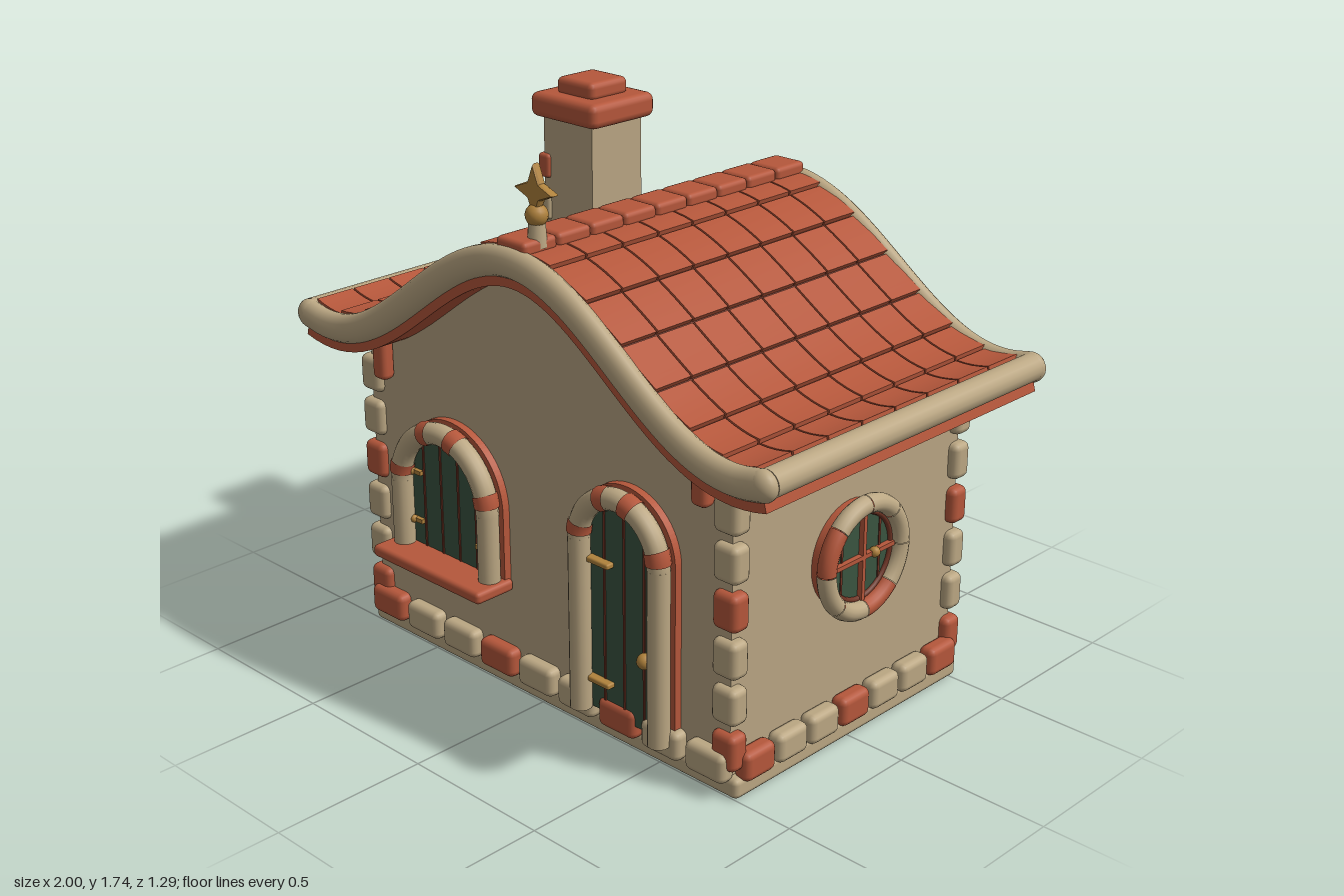
import * as THREE from 'three';
import { toCreasedNormals } from 'three/addons/utils/BufferGeometryUtils.js';
import { RoundedBoxGeometry } from 'three/addons/geometries/RoundedBoxGeometry.js';

const paint = (name, color) => {
  const m = new THREE.MeshStandardMaterial({ color });
  m.name = name;
  return m;
};

// height of the wavy roof line at x
const roofY = (x) => 1.24 + 0.2 * Math.cos((Math.PI * x) / 0.85);
// point on the roof line, moved outwards by d
const roofPoint = (x, d) => {
  const slope = -0.2 * (Math.PI / 0.85) * Math.sin((Math.PI * x) / 0.85);
  const len = Math.hypot(1, slope);
  return new THREE.Vector2(x - (slope / len) * d, roofY(x) + d / len);
};

export function createModel() {
  const wall = paint('plaster', 0xb9a583);
  const stone = paint('pale stone', 0xbba783);
  const red = paint('terracotta', 0xb5573b);
  const dark = paint('dark groove', 0x6e3323);
  const green = paint('green wood', 0x3a5440);
  const gold = paint('brass', 0xb0823c);

  const house = new THREE.Group();
  house.name = 'cottage';
  const add = (parent, name, geo, mat, x = 0, y = 0, z = 0) => {
    const m = new THREE.Mesh(geo, mat);
    m.name = name;
    m.position.set(x, y, z);
    parent.add(m);
    return m;
  };
  const block = (parent, name, w, h, d, mat, x, y, z, r = 0.018) =>
    add(parent, name, new RoundedBoxGeometry(w, h, d, 2, Math.min(r, w / 2.1, h / 2.1, d / 2.1)), mat, x, y, z);
  const box = (parent, name, w, h, d, mat, x, y, z) =>
    add(parent, name, new THREE.BoxGeometry(w, h, d), mat, x, y, z);

  // plinth and gabled walls
  block(house, 'plinth', 1.61, 0.065, 1.03, stone, 0, 0.0325, 0);
  const gable = new THREE.Shape([new THREE.Vector2(-0.77, 0.04), new THREE.Vector2(0.77, 0.04)]);
  for (let i = 0; i <= 32; i++) {
    const x = 0.77 - (1.54 * i) / 32;
    gable.lineTo(x, roofY(x) - 0.04);
  }
  const wallGeo = new THREE.ExtrudeGeometry(gable, { depth: 1.01, bevelEnabled: false });
  add(house, 'walls', toCreasedNormals(wallGeo, 0.5), wall, 0, 0, -0.505);

  // foundation stones, every third one red
  for (const s of [-1, 1]) {
    for (let i = 0; i < 9; i++)
      block(house, 'foundationStone', 0.152, 0.095, 0.06, i % 3 ? stone : red, -0.704 + i * 0.176, 0.098, s * 0.52, 0.022);
    for (let i = 0; i < 7; i++)
      block(house, 'foundationStone', 0.06, 0.095, 0.128, i % 3 ? stone : red, s * 0.795, 0.098, 0.425 - i * 0.1417, 0.022);
  }

  // corner stones and eave brackets
  for (const sx of [-1, 1]) for (const sz of [-1, 1]) {
    for (let i = 0; i < 6; i++)
      block(house, 'cornerStone', 0.092, 0.118, 0.07, i % 3 ? stone : red, sx * 0.757, 0.148 + i * 0.147, sz * 0.495, 0.022);
    block(house, 'eaveBracket', 0.06, 0.15, 0.05, red, sx * 0.68, 0.965, sz * 0.53);
  }

  // curved slab that follows the roof line, thickness given by two offset rules
  const slab = (xa, xb, depth, low, high, steps) => {
    const under = [], over = [];
    for (let i = 0; i <= steps; i++) {
      const t = i / steps, x = xa + (xb - xa) * t;
      under.push(roofPoint(x, low));
      over.unshift(roofPoint(x, high(t)));
    }
    const geo = new THREE.ExtrudeGeometry(new THREE.Shape([...under, ...over]), { depth, bevelEnabled: false });
    geo.translate(0, 0, -depth / 2);
    return toCreasedNormals(geo, 0.5);
  };
  const roof = new THREE.Group();
  roof.name = 'roof';
  house.add(roof);
  add(roof, 'roofDeck', slab(-0.95, 0.95, 1.2, -0.075, () => 0, 56), red);
  add(roof, 'tileBed', slab(-0.93, 0.93, 1.14, 0, () => 0.027, 56), dark);

  // tiles: thicker at the lower edge so that rows overlap
  const rows = 7, columns = 8, pitch = 1.16 / columns;
  for (const side of [-1, 1]) {
    const step = (side < 0 ? 0.955 : 0.925) / rows;
    for (let r = 0; r < rows; r++) {
      const a = r * step, b = (r + 1) * step - 0.005;
      const geo = side > 0
        ? slab(a, b, pitch - 0.007, 0.005, (t) => 0.034 + 0.01 * t, 4)
        : slab(-b, -a, pitch - 0.007, 0.005, (t) => 0.05 - 0.01 * t, 4);
      for (let c = 0; c < columns; c++)
        add(roof, 'roofTile', geo, red, 0, 0, (c - (columns - 1) / 2) * pitch);
    }
  }
  for (let i = 0; i < 9; i++)
    block(roof, 'ridgeTile', 0.122, 0.045, 0.13, red, 0, 1.486, -0.533 + i * 0.1333, 0.015);

  // rounded gable and eave trim
  const line = [];
  for (let i = 0; i <= 24; i++) {
    const x = -0.953 + (1.906 * i) / 24;
    line.push(new THREE.Vector3(x, roofY(x), 0));
  }
  const trimGeo = new THREE.TubeGeometry(new THREE.CatmullRomCurve3(line), 72, 0.047, 14);
  for (const s of [-1, 1]) {
    add(roof, 'gableTrim', trimGeo, stone, 0, 0, s * 0.595).scale.z = 0.75;
    const eave = add(roof, 'eaveTrim', new THREE.CylinderGeometry(0.043, 0.043, 1.17, 16), stone, s * 0.957, 1.057, 0);
    eave.rotation.x = Math.PI / 2;
    for (const z of [-1, 1])
      add(roof, 'trimEnd', new THREE.SphereGeometry(0.047, 16, 12), stone, s * 0.953, roofY(0.953), z * 0.595).scale.z = 0.75;
  }

  // chimney
  const chimney = new THREE.Group();
  chimney.name = 'chimney';
  chimney.position.set(-0.538, 0, -0.25);
  house.add(chimney);
  box(chimney, 'stack', 0.22, 0.55, 0.22, wall, 0, 1.355, 0);
  block(chimney, 'chimneyCap', 0.295, 0.08, 0.28, red, 0, 1.65, 0, 0.025);
  block(chimney, 'chimneyTop', 0.165, 0.06, 0.165, red, 0, 1.71, 0, 0.02);
  [1.16, 1.31, 1.45].forEach((y, i) =>
    block(chimney, 'chimneyStone', 0.05, 0.08, 0.055, i % 2 ? stone : red, -0.105, y, 0.095, 0.012));

  // finial: post, ball and four-pointed star
  const finial = new THREE.Group();
  finial.name = 'finial';
  finial.position.set(0.035, 0, 0.525);
  house.add(finial);
  add(finial, 'post', new THREE.CylinderGeometry(0.024, 0.03, 0.08, 14), stone, 0, 1.52, 0);
  add(finial, 'ball', new THREE.SphereGeometry(0.034, 16, 12), gold, 0, 1.572, 0);
  const star = new THREE.Shape();
  for (let i = 0; i < 8; i++) {
    const a = (i * Math.PI) / 4, r = i % 2 ? 0.03 : 0.074;
    star[i ? 'lineTo' : 'moveTo'](r * Math.cos(a), r * Math.sin(a));
  }
  const starGeo = new THREE.ExtrudeGeometry(star, { depth: 0.014, bevelThickness: 0.007, bevelSize: 0.004, bevelSegments: 1 });
  add(finial, 'star', starGeo, gold, 0, 1.642, -0.007);

  // arched opening with backing, planks, rounded surround and red bands
  const arch = (name, x, spring, bottom, R, tube, grooves) => {
    const g = new THREE.Group();
    g.name = name;
    g.position.set(x, 0, 0);
    house.add(g);
    const panel = (r, depth) => {
      const s = new THREE.Shape();
      s.moveTo(-r, bottom);
      s.lineTo(r, bottom);
      s.absarc(0, spring, r, 0, Math.PI, false);
      s.closePath();
      return new THREE.ExtrudeGeometry(s, { depth, bevelEnabled: false, curveSegments: 24 });
    };
    add(g, 'backing', panel(R + tube, 0.035), red, 0, 0, 0.495);
    add(g, 'planks', panel(R, 0.008), green, 0, 0, 0.53);
    for (const dx of grooves) {
      const h = spring + Math.sqrt(R * R - dx * dx) - bottom;
      box(g, 'plankGroove', 0.008, h, 0.006, dark, dx, bottom + h / 2, 0.538);
    }
    add(g, 'archSurround', new THREE.TorusGeometry(R, tube, 14, 32, Math.PI), stone, 0, spring, 0.562);
    for (const s of [-1, 1])
      add(g, 'jamb', new THREE.CylinderGeometry(tube, tube, spring - bottom, 14), stone, s * R, (spring + bottom) / 2, 0.562);
    for (const deg of [13, 72, 108, 167]) {
      const arc = 0.04 / R;
      add(g, 'redBand', new THREE.TorusGeometry(R, tube + 0.004, 14, 6, arc), red, 0, spring, 0.562)
        .rotation.z = (deg * Math.PI) / 180 - arc / 2;
    }
    return g;
  };

  const win = arch('archedWindow', -0.373, 0.595, 0.36, 0.2, 0.035, [-0.12, -0.04, 0.04, 0.12]);
  block(win, 'windowSill', 0.5, 0.04, 0.15, red, 0, 0.357, 0.58, 0.014);
  for (const s of [-1, 1]) for (const y of [0.46, 0.625]) {
    box(win, 'hinge', 0.05, 0.014, 0.014, gold, s * 0.15, y, 0.545);
    add(win, 'hingePin', new THREE.SphereGeometry(0.013, 10, 8), gold, s * 0.165, y, 0.55);
  }

  const door = arch('door', 0.385, 0.66, 0.1, 0.16, 0.034, [-0.08, 0, 0.08]);
  for (const y of [0.205, 0.595])
    block(door, 'doorHinge', 0.095, 0.018, 0.03, gold, -0.09, y, 0.55, 0.006);
  add(door, 'doorKnob', new THREE.SphereGeometry(0.025, 14, 10), gold, 0.105, 0.35, 0.562);

  // round window on the left wall
  const round = new THREE.Group();
  round.name = 'roundWindow';
  round.position.set(0.77, 0.6, 0.005);
  round.rotation.y = Math.PI / 2;
  house.add(round);
  const disc = (name, r, h, mat, z) =>
    (add(round, name, new THREE.CylinderGeometry(r, r, h, 36), mat, 0, 0, z).rotation.x = Math.PI / 2);
  disc('backing', 0.165, 0.045, red, 0.015);
  disc('roundPlanks', 0.138, 0.008, green, 0.04);
  for (const dx of [-0.085, 0.085])
    box(round, 'plankGroove', 0.008, 0.2, 0.006, dark, dx, 0, 0.044);
  box(round, 'muntin', 0.014, 0.29, 0.022, red, 0, 0, 0.05);
  box(round, 'muntin', 0.29, 0.014, 0.022, red, 0, 0, 0.05);
  add(round, 'innerRing', new THREE.TorusGeometry(0.135, 0.009, 8, 36), dark, 0, 0, 0.046);
  for (let i = 0; i < 8; i++)
    add(round, 'ringStone', new THREE.TorusGeometry(0.166, 0.029, 14, 8, Math.PI / 4 - 0.012), i === 3 || i === 6 ? red : stone, 0, 0, 0.058)
      .rotation.z = (i * Math.PI) / 4;
  add(round, 'latch', new THREE.SphereGeometry(0.017, 12, 8), gold, 0.05, 0, 0.058);

  // square window on the back wall
  const back = new THREE.Group();
  back.name = 'backWindow';
  back.position.set(0, 0.715, -0.505);
  back.rotation.y = Math.PI;
  house.add(back);
  box(back, 'backPlanks', 0.25, 0.29, 0.04, green, 0, 0, 0.015);
  for (const dx of [-0.05, 0, 0.05]) box(back, 'plankGroove', 0.008, 0.27, 0.006, dark, dx, 0, 0.036);
  for (const dy of [-0.065, 0.065]) box(back, 'strap', 0.2, 0.014, 0.016, gold, 0, dy, 0.042);
  for (const s of [-1, 1]) {
    block(back, 'frameSide', 0.052, 0.34, 0.08, stone, s * 0.125, 0, 0.036, 0.015);
    block(back, 'frameRail', 0.3, 0.052, 0.076, stone, 0, s * 0.147, 0.034, 0.015);
  }
  block(back, 'backSill', 0.36, 0.045, 0.13, red, 0, -0.17, 0.058, 0.014);

  house.position.z = -0.01;
  const model = new THREE.Group();
  model.add(house);
  return model;
}
